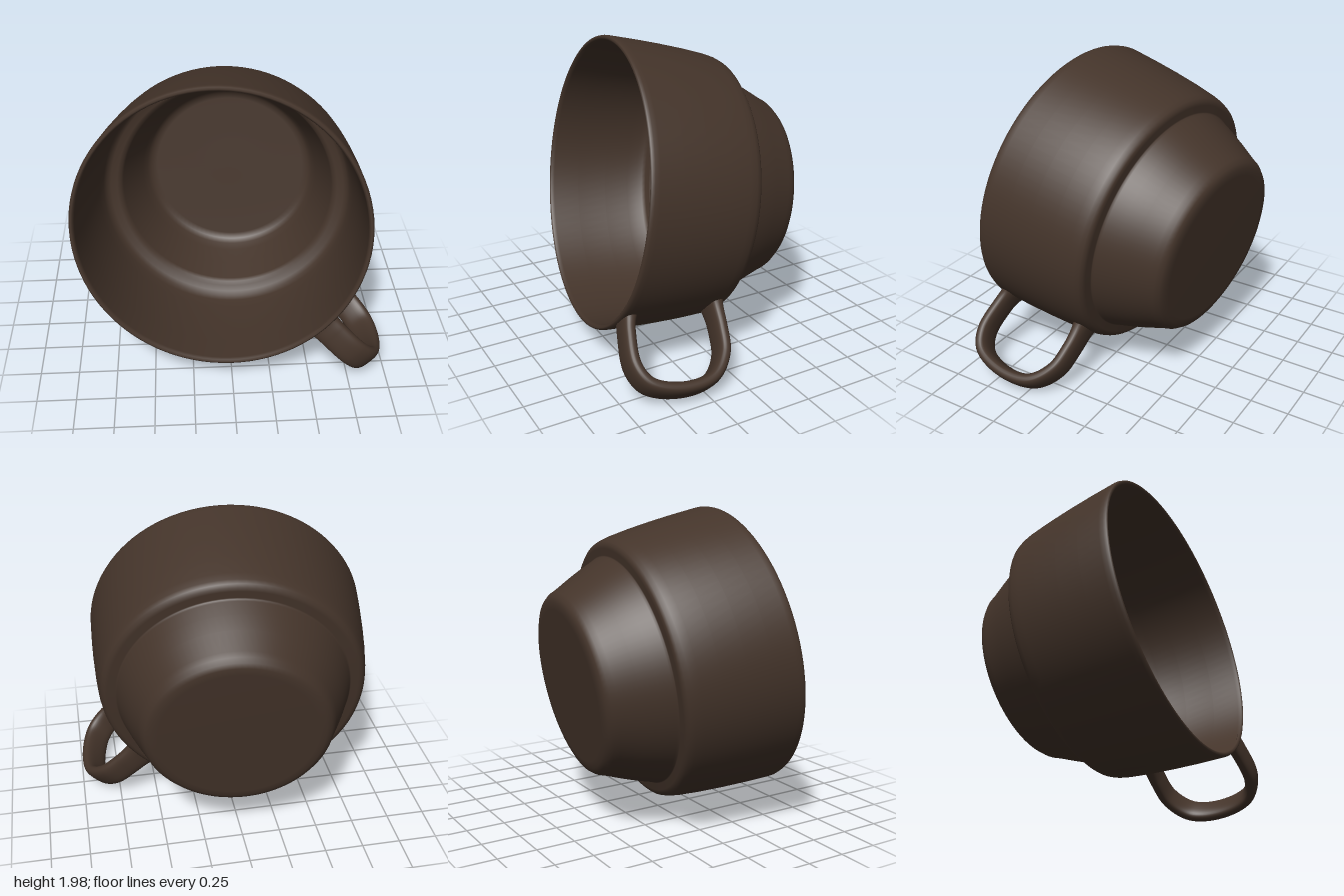
import * as THREE from 'three';
import { ParametricGeometry } from 'three/addons/geometries/ParametricGeometry.js';

const v2 = (list) => list.map(([x, y]) => new THREE.Vector2(x, y));

// Closed wall profile (radius, height): outside from base to lip, then back down inside
const PROFILE = v2([
  [0, 0], [0.49, 0], [0.535, 0.005], [0.565, 0.018], [0.588, 0.045], [0.602, 0.08],
  [0.66, 0.2], [0.70, 0.29], [0.733, 0.375], [0.738, 0.388], [0.745, 0.392],
  [0.79, 0.392], [0.812, 0.397], [0.83, 0.412], [0.842, 0.44], [0.854, 0.49],
  [0.874, 0.62], [0.893, 0.78], [0.908, 0.94], [0.919, 1.09], [0.921, 1.12],
  [0.916, 1.138], [0.905, 1.144], [0.893, 1.136], [0.888, 1.115],
  [0.875, 0.94], [0.855, 0.74], [0.83, 0.58], [0.815, 0.51], [0.80, 0.475],
  [0.775, 0.455], [0.735, 0.445], [0.71, 0.432], [0.698, 0.405],
  [0.65, 0.28], [0.60, 0.16], [0.575, 0.105], [0.55, 0.075], [0.51, 0.06], [0, 0.055],
]);

// Handle centre line in the (radius, height) plane, from the upper joint to the lower one
const HANDLE = new THREE.CatmullRomCurve3([
  [0.895, 1.075], [1.0, 1.09], [1.2, 1.085], [1.31, 1.01], [1.352, 0.8],
  [1.3, 0.6], [1.16, 0.5], [1.0, 0.485], [0.835, 0.495],
].map(([r, t]) => new THREE.Vector3(r, t, 0)));

// Band with a rounded oblong section swept along the centre line
function handleGeometry() {
  const side = new THREE.Vector3(0, 0, 1);
  const round = (c) => Math.sign(c) * Math.pow(Math.abs(c), 0.75);
  return new ParametricGeometry((u, v, target) => {
    const s = THREE.MathUtils.clamp(v, 0, 1);
    const p = HANDLE.getPoint(s);
    const n = side.clone().cross(HANDLE.getTangent(s));
    const flare = Math.pow(Math.abs(2 * s - 1), 12); // widens at the joints
    const a = u * Math.PI * 2;
    target.copy(p)
      .addScaledVector(n, round(Math.cos(a)) * (0.041 + 0.012 * flare))
      .addScaledVector(side, round(Math.sin(a)) * (0.095 + 0.02 * flare));
  }, 32, 72);
}

export function createModel() {
  const brown = new THREE.MeshStandardMaterial({ color: 0x44342a });
  brown.name = 'darkBrown';

  const cup = new THREE.Group();
  cup.name = 'cup';

  const bowl = new THREE.Mesh(new THREE.LatheGeometry(PROFILE, 96), brown);
  bowl.name = 'bowl';
  const handle = new THREE.Mesh(handleGeometry(), brown);
  handle.name = 'handle';
  cup.add(bowl, handle);

  // Tip the cup on its side: opening to the front, handle to the lower left
  const axis = new THREE.Vector3(-0.108, 0.157, 0.981).normalize();
  const out = new THREE.Vector3(0.7, -0.7, 0);
  out.addScaledVector(axis, -out.dot(axis)).normalize();
  const third = out.clone().cross(axis);
  cup.quaternion.setFromRotationMatrix(new THREE.Matrix4().makeBasis(out, axis, third));
  cup.position.set(0.053, 0.91, -0.62);

  const model = new THREE.Group();
  model.name = 'tippedCup';
  model.add(cup);
  return model;
}
